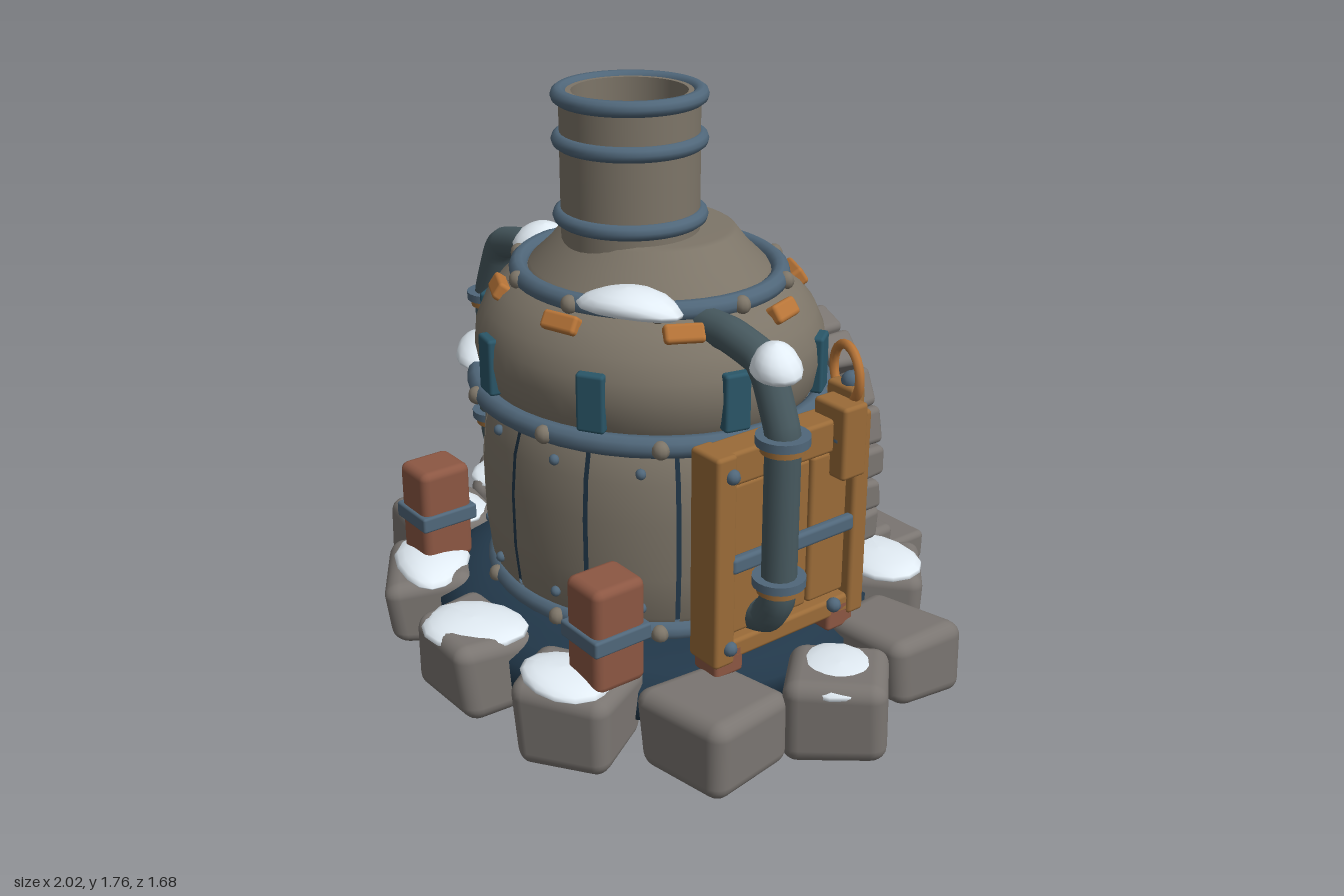
import * as THREE from 'three';
import { RoundedBoxGeometry } from 'three/addons/geometries/RoundedBoxGeometry.js';

const mat = (color) => new THREE.MeshStandardMaterial({ color, side: THREE.DoubleSide });
const M = {
  clay: mat(0x7d7568), stone: mat(0x7a7571), steel: mat(0x50677a), pipe: mat(0x47595f), dark: mat(0x22384a),
  teal: mat(0x2a5668), wood: mat(0x9a6b38), brick: mat(0x8c5743), snow: mat(0xe2ecf4), patch: mat(0xb87538),
  flame: mat(0xe8832c), glow: mat(0xeac94c),
};
const V = (x, y) => new THREE.Vector2(x, y);
const P = (x, y, z) => new THREE.Vector3(x, y, z);
const DEG = Math.PI / 180;
const CZ = 0.045, SQ = 0.93; // centre and depth squash of the furnace body

let seed = 7;
const rand = () => { seed = (seed * 16807) % 2147483647; return seed / 2147483647 - 0.5; };

function add(parent, name, geo, material, x = 0, y = 0, z = 0, ry = 0) {
  const m = new THREE.Mesh(geo, material);
  m.name = name;
  m.position.set(x, y, z);
  m.rotation.y = ry;
  parent.add(m);
  return m;
}

// Shifts the eight corners of a shape at random and blends between them
function warp(geo, w, h, d, amount) {
  const off = Array.from({ length: 8 }, () => P(rand(), rand(), rand()).multiplyScalar(amount));
  const p = geo.attributes.position;
  for (let i = 0; i < p.count; i++) {
    const v = P().fromBufferAttribute(p, i);
    const u = [v.x / w + 0.5, v.y / h + 0.5, v.z / d + 0.5];
    const out = v.clone();
    off.forEach((o, k) => {
      const f = u.reduce((a, t, j) => a * ((k >> j) & 1 ? t : 1 - t), 1);
      out.addScaledVector(o, f);
    });
    p.setXYZ(i, out.x, out.y, out.z);
  }
  return geo;
}
const box = (w, h, d, r = 0.015) => new RoundedBoxGeometry(w, h, d, 2, r);
const rock = (w, h, d, r = 0.045, j = 0.05) => warp(new RoundedBoxGeometry(w, h, d, 3, r), w, h, d, j);

function snow(parent, x, y, z, w, h, d, ry = 0) {
  const g = new THREE.SphereGeometry(0.5, 14, 10);
  const p = g.attributes.position;
  for (let i = 0; i < p.count; i++) if (p.getY(i) < 0) p.setY(i, p.getY(i) * 0.5);
  warp(g, 1, 1, 1, 0.4);
  g.scale(w, h, d);
  g.computeVertexNormals();
  add(parent, 'snow', g, M.snow, x, y, z, ry);
}

function ring(parent, name, R, tube, y, z = 0) {
  add(parent, name, new THREE.TorusGeometry(R, tube, 10, 48), M.steel, 0, y, z).rotation.x = Math.PI / 2;
}
const ball = (parent, name, r, m, x, y, z) => add(parent, name, new THREE.SphereGeometry(r, 10, 8), m, x, y, z);

// Horseshoe band between two radii
function archBand(ro, ri, depth) {
  const s = new THREE.Shape(), b = 0.27, c = 0.6;
  s.moveTo(ro, b); s.lineTo(ro, c); s.absarc(0, c, ro, 0, Math.PI, false);
  s.lineTo(-ro, b); s.lineTo(-ri, b); s.lineTo(-ri, c);
  s.absarc(0, c, ri, Math.PI, 0, true); s.lineTo(ri, b); s.closePath();
  return new THREE.ExtrudeGeometry(s, { depth, bevelEnabled: false, curveSegments: 20 });
}

function makeBody(root) {
  const g = new THREE.Group();
  g.name = 'furnaceBody';
  g.position.z = CZ;
  g.scale.z = SQ;
  root.add(g);
  const lathe = (pts, seg = 48, a = 0, l = Math.PI * 2) => new THREE.LatheGeometry(pts.map((p) => V(...p)), seg, a, l);
  // Dark lining, open at the fireplace
  add(g, 'lining', new THREE.CylinderGeometry(0.46, 0.49, 0.62, 40, 1, true, 210 * DEG, 300 * DEG), M.dark, 0, 0.56, 0);
  add(g, 'ceiling', new THREE.CircleGeometry(0.5, 40), M.dark, 0, 0.875, 0).rotation.x = Math.PI / 2;
  // Curved staves with a gap at the back for the fireplace
  const stave = [[0.48, 0.27], [0.515, 0.32], [0.53, 0.45], [0.532, 0.62], [0.52, 0.74], [0.495, 0.82], [0.46, 0.87]];
  for (let i = 0; i < 12; i++) {
    if (i === 5 || i === 6) continue;
    add(g, 'stave', lathe(stave, 6, (i * 30 + 0.8) * DEG, 28.4 * DEG), M.clay);
    for (const y of [0.36, 0.775]) {
      const a = (i * 30 + 18) * DEG, r = y < 0.5 ? 0.525 : 0.515;
      ball(g, 'staveRivet', 0.016, M.steel, Math.sin(a) * r, y, Math.cos(a) * r);
    }
  }
  const dome = [[0.5, 0.87], [0.53, 0.92], [0.543, 0.99], [0.537, 1.05], [0.51, 1.11], [0.465, 1.165], [0.4, 1.21], [0.34, 1.225]];
  add(g, 'dome', lathe(dome), M.clay);
  add(g, 'shoulder', lathe([[0.38, 1.2], [0.365, 1.23], [0.31, 1.28], [0.265, 1.335], [0.25, 1.343], [0, 1.343]]), M.clay);
  // Hoops with rivets
  for (const [R, t, y] of [[0.5, 0.03, 0.275], [0.54, 0.032, 0.87], [0.4, 0.03, 1.21]]) {
    ring(g, 'hoop', R, t, y);
    for (let i = 0; i < 10; i++) {
      const a = (18 + i * 36) * DEG, r = R + t * 0.7;
      if (y < 0.3 && Math.abs(i - 4.5) < 1) continue;
      ball(g, 'hoopRivet', 0.027, M.clay, Math.sin(a) * r, y, Math.cos(a) * r);
    }
  }
  // Clips and patches around the dome
  for (let i = 0; i < 8; i++) {
    const a = (-12 + i * 45) * DEG, b = (18 + i * 45) * DEG;
    add(g, 'domeClip', box(0.085, 0.17, 0.04, 0.01), M.teal, Math.sin(a) * 0.535, 0.985, Math.cos(a) * 0.535, a);
    const p = add(g, 'domePatch', box(0.12, 0.055, 0.05, 0.012), M.patch, Math.sin(b) * 0.46, 1.165, Math.cos(b) * 0.46, b);
    p.rotation.order = 'YXZ';
    p.rotation.x = -0.6;
  }
}

function makeChimney(root) {
  const prof = [V(0.2, 1.22), V(0.2, 1.74), V(0.165, 1.74), V(0.165, 1.4)];
  const g = new THREE.Group();
  g.name = 'chimney';
  g.position.z = 0.11;
  root.add(g);
  for (let i = 0; i < 3; i++) add(g, 'chimneyWall', new THREE.LatheGeometry([prof[i], prof[i + 1]], 40), M.clay);
  add(g, 'chimneyShaft', new THREE.CircleGeometry(0.17, 32), M.dark, 0, 1.42, 0).rotation.x = -Math.PI / 2;
  for (const y of [1.385, 1.605, 1.73]) ring(g, 'chimneyRing', 0.2, 0.023, y);
}

function makeFireplace(root) {
  const g = new THREE.Group();
  g.name = 'fireplace';
  root.add(g);
  add(g, 'tunnel', archBand(0.3, 0.27, 0.12), M.steel, 0, 0, -0.48);
  add(g, 'outerTrim', archBand(0.285, 0.245, 0.03), M.patch, 0, 0, -0.565);
  add(g, 'reveal', archBand(0.28, 0.262, 0.1), M.clay, 0, 0, -0.54);
  add(g, 'innerTrim', archBand(0.265, 0.21, 0.04), M.wood, 0, 0, -0.44);
  // Arch stones
  for (let i = 0; i < 9; i++) {
    const a = (10 + i * 20) * DEG;
    const m = add(g, 'archStone', rock(0.11, 0.118, 0.12, 0.02, 0.02), M.stone, Math.cos(a) * 0.325, 0.6 + Math.sin(a) * 0.325, -0.517);
    m.rotation.z = a;
  }
  for (const s of [-1, 1]) {
    for (const y of [0.325, 0.435, 0.54])
      add(g, 'pillarStone', rock(0.12, 0.108, 0.125, 0.02, 0.025), M.stone, s * 0.325, y, -0.52);
    for (const y of [0.31, 0.64]) ball(g, 'archBolt', 0.022, M.steel, s * 0.325, y, -0.59);
  }
  add(g, 'sill', box(0.54, 0.03, 0.07), M.patch, 0, 0.285, -0.55);
  add(g, 'hearth', box(0.56, 0.06, 0.35), M.dark, 0, 0.25, -0.4);
  // Flames
  const drop = [V(0, 0), V(0.035, 0.04), V(0.05, 0.11), V(0.04, 0.19), V(0.018, 0.27), V(0, 0.33)];
  for (let i = 0; i < 9; i++) {
    const front = i > 4, k = front ? i - 6.5 : i - 2;
    const f = add(g, 'flame', new THREE.LatheGeometry(drop, 10), front ? M.glow : M.flame, k * 0.068, 0.28, front ? -0.41 : -0.36);
    const s = (front ? 0.68 : 1) - Math.abs(k) * 0.14;
    f.scale.set(0.95, s, 0.7);
    f.rotation.z = -k * 0.06;
  }
  // Steps
  add(g, 'upperStep', rock(0.62, 0.2, 0.16, 0.025, 0.02), M.stone, 0, 0.15, -0.64);
  add(g, 'lowerStep', rock(0.66, 0.1, 0.16, 0.02, 0.015), M.stone, 0, 0.14, -0.765);
  add(g, 'stepSlab', rock(0.25, 0.05, 0.09, 0.02, 0.03), M.stone, -0.01, 0.205, -0.75);
}

function makeBase(root) {
  const prof = [V(0, 0.1), V(0.7, 0.1), V(0.7, 0.19), V(0.63, 0.22), V(0.54, 0.26), V(0, 0.265)];
  const b = add(root, 'basePlate', new THREE.LatheGeometry(prof, 48), M.dark, 0, 0, CZ);
  b.scale.z = SQ;
  // Stones: x, z, width, depth, turn, snow covered
  const stones = [
    [-0.82, 0.02, 0.27, 0.27, 45, 1], [-0.71, 0.36, 0.31, 0.3, -10, 1], [-0.41, 0.61, 0.3, 0.25, -28, 1],
    [0, 0.69, 0.33, 0.26, 0, 1], [0.41, 0.61, 0.3, 0.25, 28, 1], [0.7, 0.36, 0.3, 0.3, 8, 0],
    [0.82, 0.02, 0.27, 0.27, 45, 1], [0.71, -0.31, 0.3, 0.26, 8, 0], [0.42, -0.54, 0.3, 0.26, -38, 1],
    [-0.42, -0.54, 0.3, 0.26, 38, 1], [-0.71, -0.34, 0.3, 0.3, -8, 0],
  ];
  for (const [x, z, w, d, t, s] of stones) {
    add(root, 'baseStone', rock(w, 0.235, d), M.stone, x, 0.13, z, t * DEG);
    if (s) snow(root, x, 0.235, z, w * 0.98, 0.075, d * 1.02, t * DEG);
  }
  snow(root, -0.73, 0.24, -0.47, 0.3, 0.13, 0.16);
  // Banded brick posts
  for (const s of [-1, 1]) {
    add(root, 'brickPost', box(0.15, 0.32, 0.17, 0.025), M.brick, s * 0.453, 0.39, 0.54);
    add(root, 'postBand', box(0.17, 0.05, 0.19, 0.008), M.steel, s * 0.453, 0.385, 0.54);
  }
  // Stacked logs
  for (const [y, z] of [[0.31, -0.4], [0.31, -0.23], [0.425, -0.315]]) {
    add(root, 'log', new THREE.CylinderGeometry(0.066, 0.066, 0.28, 12), M.brick, -0.705, y, z).rotation.z = Math.PI / 2;
    for (const s of [-1, 1])
      add(root, 'logRing', new THREE.TorusGeometry(0.04, 0.012, 6, 14), M.wood, -0.705 + s * 0.14, y, z, Math.PI / 2);
  }
}

function makePipe(root, s) {
  const g = new THREE.Group();
  g.name = s > 0 ? 'leftPipe' : 'rightPipe';
  root.add(g);
  const pts = [[0.38, 1.17], [0.5, 1.17], [0.62, 1.145], [0.66, 1.1], [0.715, 0.97], [0.72, 0.9], [0.72, 0.55], [0.715, 0.46], [0.67, 0.39], [0.52, 0.355]];
  const curve = new THREE.CatmullRomCurve3(pts.map(([x, y]) => P(s * x, y, 0.15)), false, 'catmullrom', 0.25);
  add(g, 'pipe', new THREE.TubeGeometry(curve, 60, 0.05, 14), M.pipe);
  for (const y of [0.945, 0.525]) {
    add(g, 'pipeCollar', new THREE.CylinderGeometry(0.075, 0.075, 0.025, 20), M.steel, s * 0.72, y, 0.15);
    add(g, 'collarSeal', new THREE.CylinderGeometry(0.062, 0.062, 0.03, 20), M.wood, s * 0.72, y - 0.02, 0.15);
  }
}

function makeDoor(root) {
  const g = new THREE.Group();
  g.name = 'woodenDoor';
  root.add(g);
  const bit = (name, m, h, d, y, z, w = 0.1, x = 0.6) => add(g, name, box(w, h, d, 0.012), m, x, y, z);
  bit('doorPost', M.wood, 0.64, 0.07, 0.585, 0.285, 0.12);
  bit('doorPost', M.wood, 0.64, 0.06, 0.585, -0.21, 0.12);
  bit('doorRail', M.wood, 0.1, 0.5, 0.855, 0.04);
  bit('doorRail', M.wood, 0.06, 0.5, 0.3, 0.04);
  for (const z of [0.185, 0.04, -0.105]) bit('doorPlank', M.wood, 0.46, 0.138, 0.575, z, 0.08);
  bit('doorBand', M.steel, 0.05, 0.45, 0.57, 0.04, 0.03, 0.65);
  for (const z of [0.26, -0.16]) bit('doorFoot', M.brick, 0.09, 0.1, 0.27, z);
  for (const [y, z] of [[0.845, 0.27], [0.32, 0.27], [0.32, -0.12], [0.845, -0.12]]) ball(g, 'doorBolt', 0.022, M.steel, 0.66, y, z);
  // Latch with hanging ring
  bit('latchBlock', M.wood, 0.22, 0.09, 0.84, -0.145, 0.13, 0.63);
  bit('latchPost', M.wood, 0.16, 0.05, 0.9, -0.19, 0.11);
  add(g, 'latchRing', new THREE.TorusGeometry(0.08, 0.014, 8, 24), M.patch, 0.6, 1.01, -0.19, -0.3);
  ball(g, 'latchBolt', 0.03, M.steel, 0.61, 0.985, -0.2);
}

export function createModel() {
  const root = new THREE.Group();
  root.name = 'furnace';
  makeBase(root);
  makeBody(root);
  makeChimney(root);
  makeFireplace(root);
  for (const s of [-1, 1]) makePipe(root, s);
  makeDoor(root);
  // Snow resting on the hoops and pipes
  snow(root, 0.28, 1.225, 0.34, 0.36, 0.11, 0.2, 0.3);
  snow(root, -0.43, 1.195, 0.13, 0.24, 0.11, 0.2);
  snow(root, -0.45, 0.88, 0.35, 0.28, 0.11, 0.18, -0.6);
  snow(root, 0.68, 1.13, 0.15, 0.17, 0.14, 0.15);
  return root;
}
